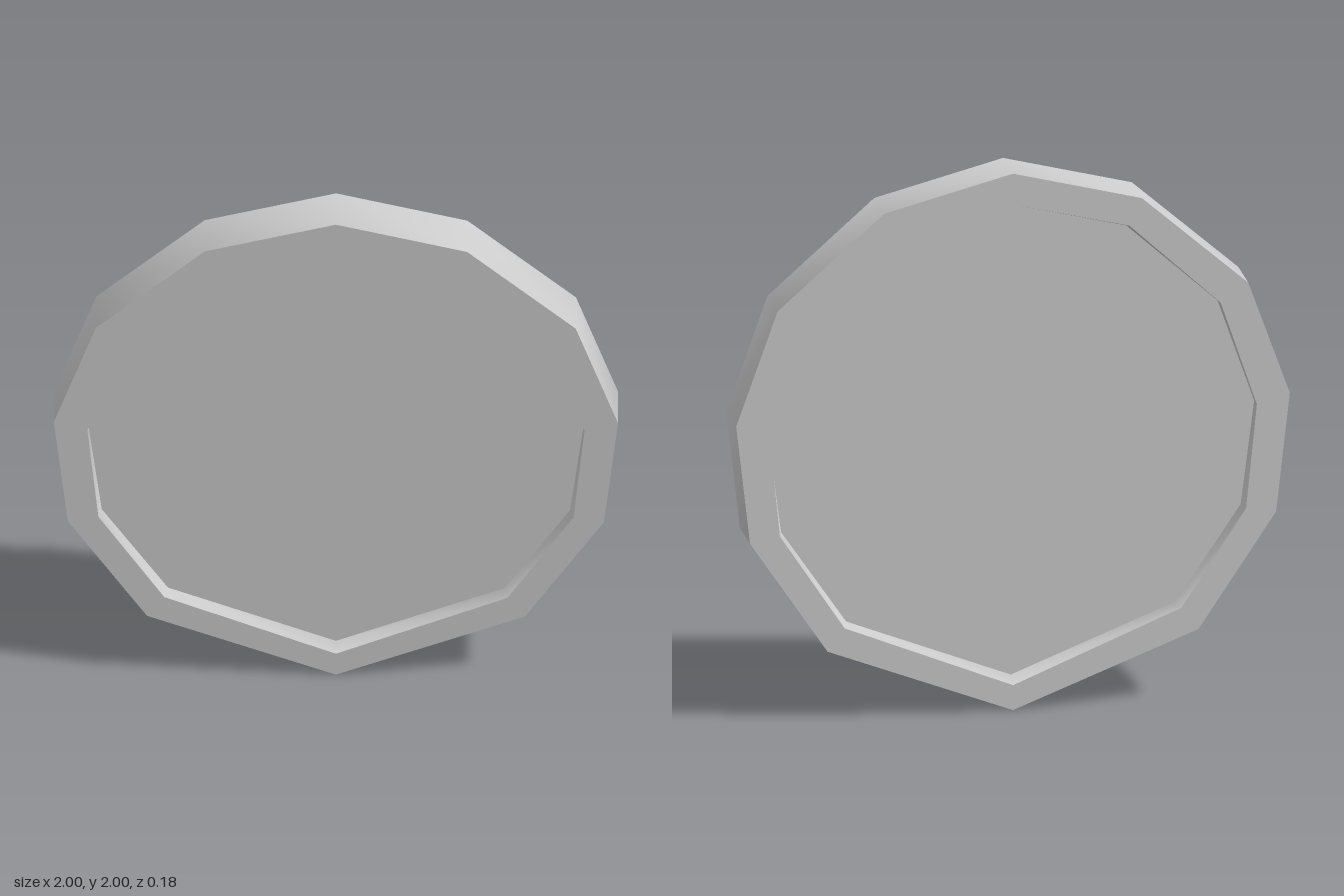
import * as THREE from 'three';
import { toCreasedNormals } from 'three/addons/utils/BufferGeometryUtils.js';

// Half outlines from top to bottom; the other half is mirrored.
const OUTER = [[0, 2], [0.465, 1.88], [0.85, 1.54], [1, 1.12], [0.95, 0.68], [0.67, 0.26], [0, 0]];
const INNER = [[0, 1.885], [0.42, 1.78], [0.75, 1.472], [0.881, 1.085], [0.842, 0.7], [0.608, 0.343], [0, 0.093]];
const PANEL = [[0, 1.88], [0.417, 1.768], [0.747, 1.467], [0.879, 1.085], [0.83, 0.703], [0.595, 0.355], [0, 0.12]];
const RIM_Z = 0.092, PANEL_Z = 0.052;

// Full clockwise outline (seen from the front) at depth z.
function ring(half, z) {
  const mirrored = half.slice(1, -1).reverse().map(([x, y]) => [-x, y]);
  return [...half, ...mirrored].map(([x, y]) => [x, y, z]);
}

// Joins successive rings with quads.
function loft(rings) {
  const n = rings[0].length, index = [];
  for (let r = 0; r < rings.length - 1; r++) {
    for (let i = 0; i < n; i++) {
      const j = (i + 1) % n;
      const a = r * n + i, b = r * n + j, c = a + n, d = b + n;
      index.push(a, b, c, b, d, c);
    }
  }
  const geo = new THREE.BufferGeometry();
  geo.setAttribute('position', new THREE.Float32BufferAttribute(rings.flat(2), 3));
  geo.setIndex(index);
  return toCreasedNormals(geo, Math.PI / 3.5);
}

export function createModel() {
  const group = new THREE.Group();
  group.name = 'facetedDisc';
  const material = new THREE.MeshStandardMaterial({ color: 0xcccccc });
  const add = (name, geo) => {
    const mesh = new THREE.Mesh(geo, material);
    mesh.name = name;
    group.add(mesh);
    return mesh;
  };

  // Raised rim: recess walls, flat lips and outer wall
  add('rim', loft([
    ring(PANEL, PANEL_Z), ring(INNER, RIM_Z), ring(OUTER, RIM_Z),
    ring(OUTER, -RIM_Z), ring(INNER, -RIM_Z), ring(PANEL, -PANEL_Z),
  ]));

  // Recessed panels on both faces
  const outline = new THREE.Shape(ring(PANEL, 0).map(([x, y]) => new THREE.Vector2(x, y)));
  const panelGeo = new THREE.ShapeGeometry(outline);
  add('frontPanel', panelGeo).position.z = PANEL_Z;
  const back = add('backPanel', panelGeo);
  back.position.z = -PANEL_Z;
  back.rotation.y = Math.PI;

  return group;
}
